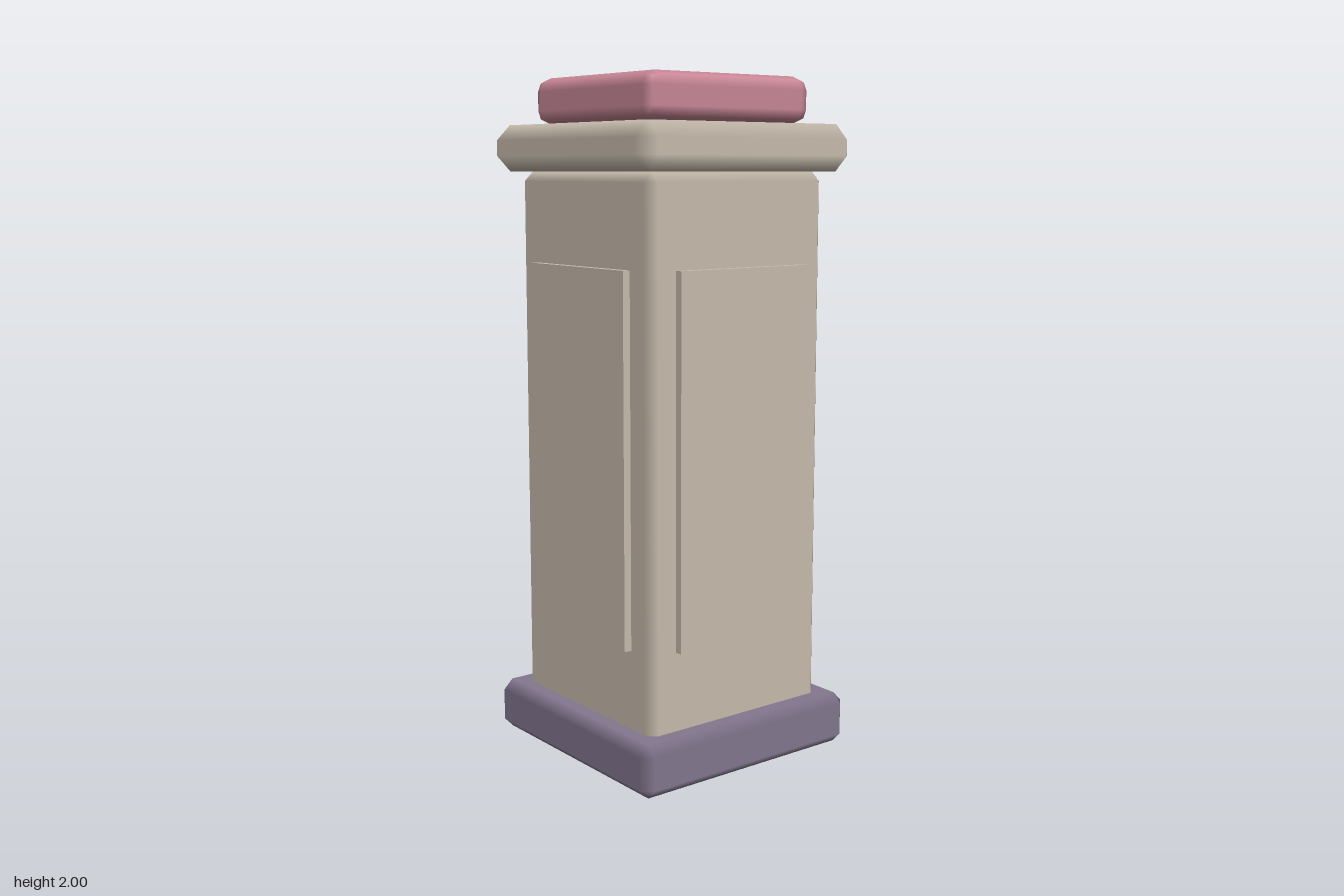
import * as THREE from 'three';
import { RoundedBoxGeometry } from 'three/addons/geometries/RoundedBoxGeometry.js';

const material = (name, color) => {
  const m = new THREE.MeshStandardMaterial({ color });
  m.name = name;
  return m;
};

// Box with chamfered edges; each corner has one vertex per face, so the
// faces shade flat and the chamfers blend smoothly between them.
function chamferBox(w, h, d, bevel) {
  const half = [w / 2, h / 2, d / 2];
  const points = [], normals = [], index = [];
  for (let axis = 0; axis < 3; axis++) {
    for (let corner = 0; corner < 8; corner++) {
      const sign = [0, 1, 2].map(k => ((corner >> k) & 1 ? 1 : -1));
      points.push(new THREE.Vector3(...sign.map((s, k) => s * (half[k] - (k === axis ? 0 : bevel)))));
      normals.push(...sign.map((s, k) => (k === axis ? s : 0)));
    }
  }
  const id = (axis, corner) => axis * 8 + corner;
  const triangle = (a, b, c) => {
    const [A, B, C] = [points[a], points[b], points[c]];
    const n = B.clone().sub(A).cross(C.clone().sub(A));
    // The shape is convex, so every face must point away from its centre
    if (n.dot(A) > 0) index.push(a, b, c);
    else index.push(a, c, b);
  };
  const quad = (a, b, c, e) => { triangle(a, b, c); triangle(a, c, e); };

  for (let axis = 0; axis < 3; axis++) {
    const u = 1 << ((axis + 1) % 3), v = 1 << ((axis + 2) % 3), own = 1 << axis;
    // Main faces
    for (const s of [0, own]) quad(id(axis, s), id(axis, s + u), id(axis, s + u + v), id(axis, s + v));
    // Chamfers running along this axis
    const a1 = (axis + 1) % 3, a2 = (axis + 2) % 3;
    for (const e of [0, u, v, u + v]) quad(id(a1, e), id(a1, e + own), id(a2, e + own), id(a2, e));
  }
  // Corner triangles
  for (let c = 0; c < 8; c++) triangle(id(0, c), id(1, c), id(2, c));

  const g = new THREE.BufferGeometry().setFromPoints(points);
  g.setAttribute('normal', new THREE.Float32BufferAttribute(normals, 3));
  g.setIndex(index);
  return g;
}

export function createModel() {
  const model = new THREE.Group();
  model.name = 'pedestal';
  const stone = material('warm stone', 0xc8bdae);
  const plum = material('plum stone', 0x83778f);
  const rose = material('rose', 0xc98797);

  const add = (name, geometry, mat, y) => {
    const mesh = new THREE.Mesh(geometry, mat);
    mesh.name = name;
    mesh.position.y = y;
    model.add(mesh);
    return mesh;
  };

  // Stacked body
  add('base', chamferBox(0.77, 0.155, 0.77, 0.03), plum, 0.0775);
  add('shaft', chamferBox(0.64, 1.6, 0.64, 0.028), stone, 0.93);
  add('cap', chamferBox(0.77, 0.135, 0.77, 0.045), stone, 1.7975);
  add('topSlab', new RoundedBoxGeometry(0.58, 0.135, 0.58, 1, 0.04), rose, 1.9325);

  // Raised panel on each side of the shaft
  const panelShape = new THREE.BoxGeometry(0.46, 1.075, 0.04).translate(0, 0, 0.323);
  ['front', 'left', 'back', 'right'].forEach((side, i) => {
    add(side + 'Panel', panelShape, stone, 0.9275).rotation.y = i * Math.PI / 2;
  });

  return model;
}
